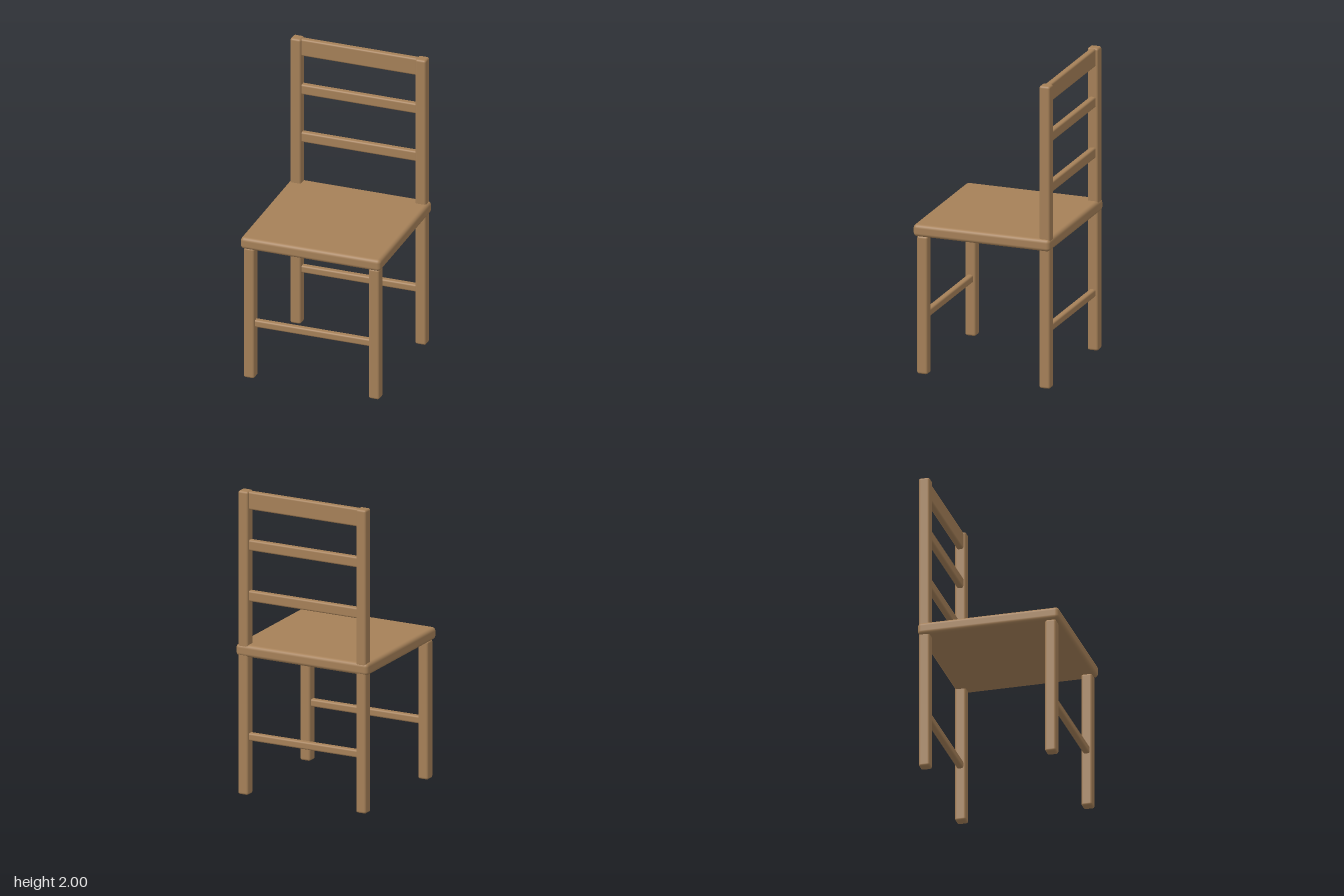
import * as THREE from 'three';
import { RoundedBoxGeometry } from 'three/addons/geometries/RoundedBoxGeometry.js';

export function createModel() {
  const chair = new THREE.Group();
  chair.name = 'chair';
  const wood = new THREE.MeshStandardMaterial({ color: 0xa58058 });
  wood.name = 'wood';

  // Softly rounded wooden bar spanning [min, max] on each axis
  function bar(name, [x0, x1], [y0, y1], [z0, z1], radius) {
    const geometry = new RoundedBoxGeometry(x1 - x0, y1 - y0, z1 - z0, 3, radius);
    const mesh = new THREE.Mesh(geometry, wood);
    mesh.name = name;
    mesh.position.set((x0 + x1) / 2, (y0 + y1) / 2, (z0 + z1) / 2);
    chair.add(mesh);
  }

  // Seat board
  bar('seat', [-0.472, 0.472], [0.91, 0.99], [-0.463, 0.46], 0.024);

  // Front legs stop under the seat, back posts run up to the top rail
  for (const [side, x] of [['left', 0.421], ['right', -0.421]]) {
    const span = [x - 0.036, x + 0.036];
    bar(side + 'FrontLeg', span, [0, 0.912], [0.367, 0.439], 0.014);
    bar(side + 'BackPost', span, [0, 2], [-0.459, -0.387], 0.014);
  }

  // Backrest rails
  const width = [-0.395, 0.395];
  bar('topRail', width, [1.88, 1.998], [-0.444, -0.402], 0.012);
  bar('upperSlat', width, [1.61, 1.68], [-0.444, -0.402], 0.012);
  bar('lowerSlat', width, [1.275, 1.345], [-0.444, -0.402], 0.012);

  // Stretchers between the legs
  for (const [name, z] of [['frontStretcher', 0.403], ['backStretcher', -0.423]]) {
    bar(name, width, [0.357, 0.407], [z - 0.021, z + 0.021], 0.012);
  }

  return chair;
}
